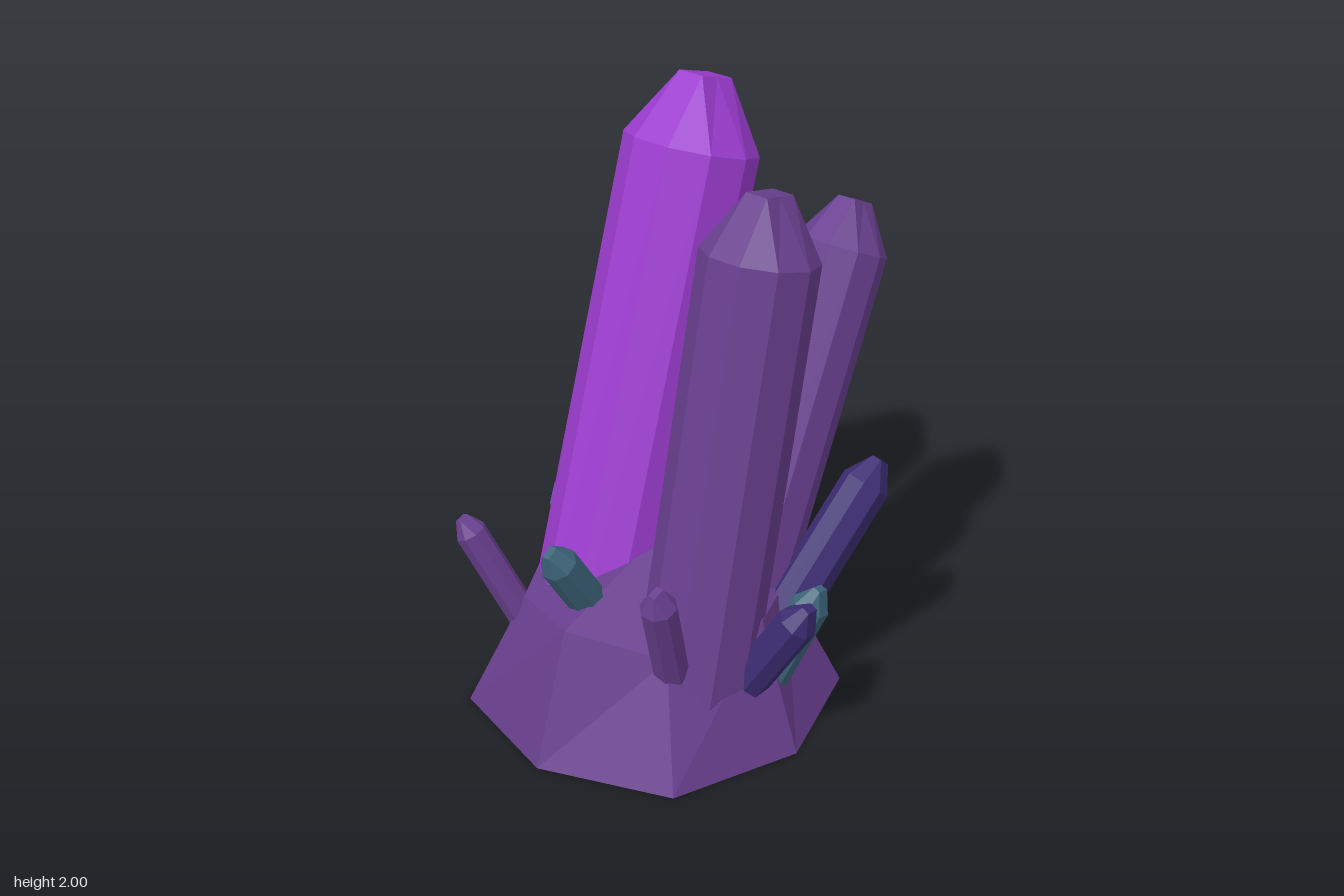
import * as THREE from 'three';

const material = (name, color) => {
  const m = new THREE.MeshStandardMaterial({ color, flatShading: true, side: THREE.DoubleSide });
  m.name = name;
  return m;
};

// Skin a stack of equal-length rings, closing the last one with a fan
function skin(rings, top) {
  const n = rings[0].length;
  const pos = [...rings.flat(), top].flat();
  const index = [];
  for (let k = 0; k < rings.length; k++) {
    for (let i = 0; i < n; i++) {
      const a = k * n + i, b = k * n + (i + 1) % n;
      if (k === rings.length - 1) index.push(a, b, rings.length * n);
      else index.push(a, b, b + n, a, b + n, a + n);
    }
  }
  const g = new THREE.BufferGeometry();
  g.setAttribute('position', new THREE.Float32BufferAttribute(pos, 3));
  g.setIndex(index);
  const flat = g.toNonIndexed();
  flat.computeVertexNormals();
  return flat;
}

// Open prism along +y, tapering to a small oblong facet
function crystalGeometry(r, length, tip, sides) {
  const ring = (y, maxX, maxZ) => Array.from({ length: sides }, (_, i) => {
    const a = (i + 0.5) / sides * Math.PI * 2;
    const clamp = THREE.MathUtils.clamp;
    return [r * clamp(Math.sin(a), -maxX, maxX), y, r * clamp(Math.cos(a), -maxZ, maxZ)];
  });
  return skin([ring(0, 1, 1), ring(length - tip, 1, 1), ring(length, 0.21, 0.35)], [0, length, 0]);
}

function crystal(name, mat, from, to, r, sides, sink, tipScale) {
  const a = new THREE.Vector3(...from), b = new THREE.Vector3(...to);
  const dir = b.clone().sub(a).normalize();
  a.addScaledVector(dir, -sink);
  const mesh = new THREE.Mesh(crystalGeometry(r, a.distanceTo(b), r * tipScale, sides), mat);
  mesh.position.copy(a);
  mesh.quaternion.setFromUnitVectors(new THREE.Vector3(0, 1, 0), dir);
  mesh.name = name;
  return mesh;
}

export function createModel() {
  const group = new THREE.Group();
  group.name = 'crystalCluster';
  const purple = material('dull purple', 0x683f8e);
  const magenta = material('bright orchid', 0x9c3cd0);
  const indigo = material('dark indigo', 0x3b2c72);
  const teal = material('slate teal', 0x3d647a);
  const blue = material('blue violet', 0x6250b8);

  // Faceted, hollow rock base
  const rockRing = (y0, r0, y1, r1) => Array.from({ length: 8 }, (_, i) => {
    const a = i * Math.PI / 4, r = i % 2 ? r1 : r0;
    return [-0.035 + r * Math.sin(a), i % 2 ? y1 : y0, 0.145 + r * Math.cos(a)];
  });
  const rock = new THREE.Mesh(
    skin([rockRing(0, 0.585, 0, 0.615), rockRing(0.44, 0.44, 0.385, 0.425)], [-0.035, 0.58, 0.145]), purple);
  rock.name = 'rockBase';
  group.add(rock);

  // Three large leaning crystals
  const large = [
    ['tallCrystal', magenta, [-0.218, 0.08, 0.281], [-0.218, 1.975, -0.332], 0.219],
    ['frontCrystal', purple, [0.235, 0.09, 0.302], [0.235, 1.772, -0.08], 0.19],
    ['backCrystal', purple, [0.14, 0.1, 0.037], [0.14, 1.54, -0.657], 0.152],
  ];
  for (const [name, mat, from, to, r] of large) group.add(crystal(name, mat, from, to, r, 10, 0, 1.02));

  // Small crystals around the rim
  const small = [
    [purple, [-0.36, 0.3, 0.43], [-0.51, 0.655, 0.54], 0.052],
    [teal, [-0.08, 0.47, 0.43], [-0.09, 0.705, 0.585], 0.062],
    [purple, [0.26, 0.34, 0.42], [0.3, 0.69, 0.54], 0.06],
    [indigo, [0.42, 0.28, 0.2], [0.595, 0.565, 0.155], 0.065],
    [teal, [0.42, 0.25, 0.1], [0.535, 0.55, 0.02], 0.062],
    [indigo, [0.32, 0.33, -0.1], [0.42, 0.77, -0.45], 0.082],
    [blue, [-0.28, 0.36, -0.28], [-0.27, 0.56, -0.44], 0.05],
    [purple, [-0.42, 0.33, -0.23], [-0.49, 0.55, -0.37], 0.052],
    [blue, [-0.44, 0.38, 0.08], [-0.54, 0.56, 0.035], 0.057],
    [teal, [-0.075, 0.47, -0.09], [-0.07, 0.7, -0.255], 0.058],
  ];
  small.forEach(([mat, from, to, r], i) =>
    group.add(crystal('smallCrystal' + (i + 1), mat, from, to, r, 8, 0.15, 1.1)));

  return group;
}
